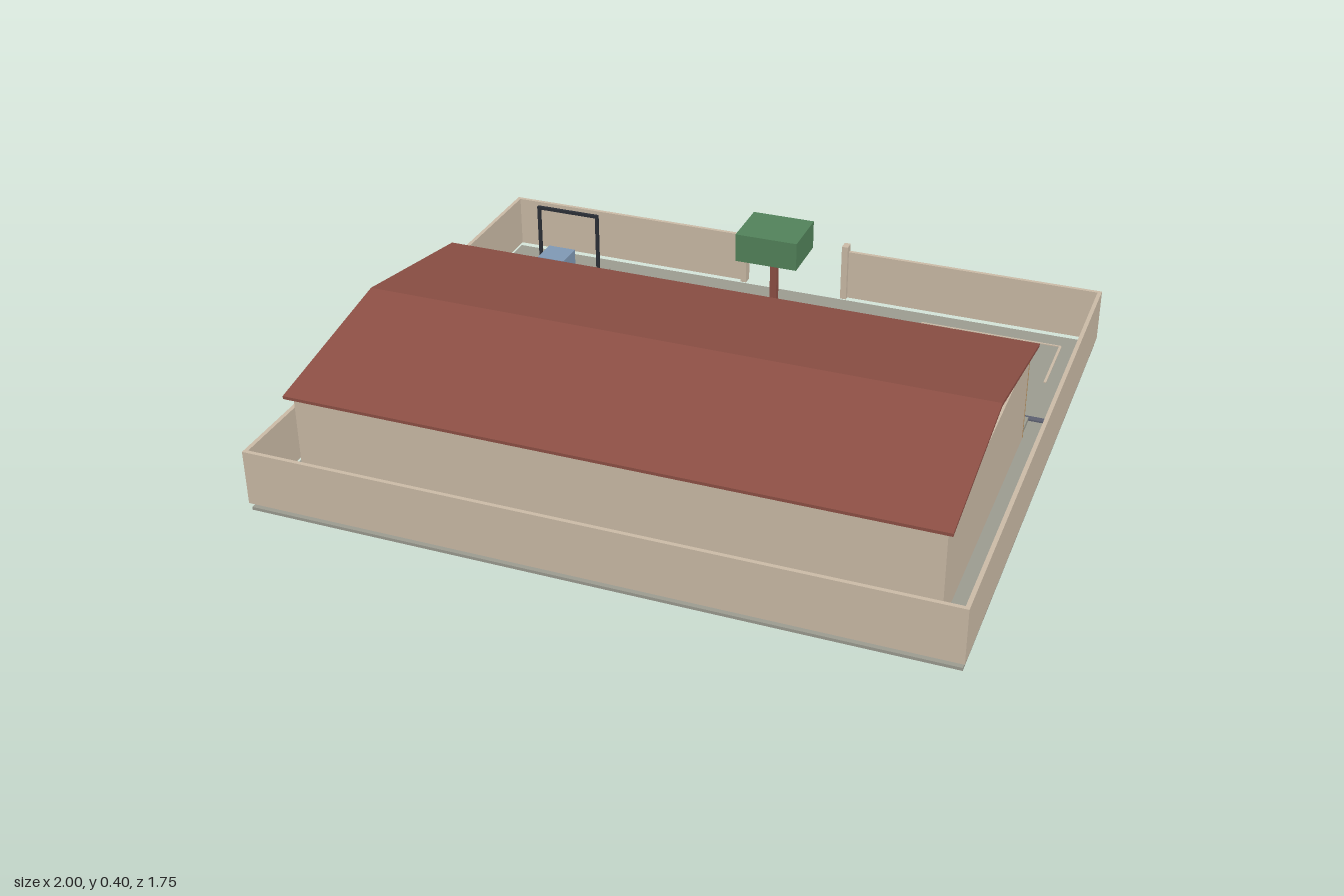
import * as THREE from 'three';

const colours = {
  paving: 0x9b9b90, plaster: 0xcabaa6, roofRed: 0x8c4f44, leafGreen: 0x52825a,
  roomGreen: 0x6d9682, roomBlue: 0x7f98b4, roomOrange: 0xbd9765,
  drainGrey: 0x5c6070, frameDark: 0x2b2f36,
};

export function createModel() {
  const model = new THREE.Group();
  model.name = 'schoolCompound';
  const mats = {};
  for (const [name, color] of Object.entries(colours)) {
    mats[name] = new THREE.MeshStandardMaterial({ color });
    mats[name].name = name;
  }

  const group = (name, parent = model) => {
    const g = new THREE.Group();
    g.name = name;
    parent.add(g);
    return g;
  };
  // Box given by its extents along each axis
  const box = (parent, name, mat, [x0, x1], [y0, y1], [z0, z1]) => {
    const mesh = new THREE.Mesh(new THREE.BoxGeometry(x1 - x0, y1 - y0, z1 - z0), mats[mat]);
    mesh.position.set((x0 + x1) / 2, (y0 + y1) / 2, (z0 + z1) / 2);
    mesh.name = name;
    parent.add(mesh);
    return mesh;
  };
  const around = (c, w) => [c - w / 2, c + w / 2];

  // Ground slab and drain
  box(model, 'ground', 'paving', [-0.995, 0.995], [0.001, 0.01], [-0.865, 0.865]);
  box(model, 'drain', 'drainGrey', [-0.97, 0.965], [0.008, 0.015], [-0.345, -0.325]);

  // Perimeter walls, raised a little off the ground, with a gateway at the back
  const fence = group('perimeterWall');
  const fy = [0.025, 0.19];
  box(fence, 'frontWall', 'plaster', [-1, 1], fy, [0.858, 0.87]);
  for (const s of [-1, 1]) {
    box(fence, 'sideWall', 'plaster', around(s * 0.994, 0.012), fy, [-0.858, 0.858]);
    box(fence, 'backWall', 'plaster', around(s * 0.585, 0.83), fy, [-0.87, -0.858]);
    box(fence, 'gatePost', 'plaster', around(s * 0.173, 0.02), [0.025, 0.213], [-0.875, -0.843]);
  }

  // Floors: three coloured bands and the veranda, reaching through the slab
  const building = group('building');
  const bands = [
    ['veranda', 'paving', -0.32, -0.2], ['orangeFloor', 'roomOrange', -0.2, 0.11],
    ['blueFloor', 'roomBlue', 0.11, 0.41], ['greenFloor', 'roomGreen', 0.41, 0.72],
  ];
  for (const [name, mat, z0, z1] of bands) box(building, name, mat, [-0.9, 0.9], [0, 0.025], [z0, z1]);

  // Outer walls
  const wy = [0.025, 0.31];
  box(building, 'frontWall', 'plaster', [-0.908, 0.908], wy, [0.722, 0.735]);
  for (const s of [-1, 1]) box(building, 'sideWall', 'plaster', around(s * 0.902, 0.012), wy, [-0.194, 0.722]);

  // Back wall: five coloured rooms, each with a doorway
  const rooms = ['paving', 'roomBlue', 'plaster', 'roomGreen', 'roomOrange'];
  const wz = [-0.206, -0.194];
  const pitch = 1.816 / 5, doorW = 0.11, doorTop = 0.235;
  rooms.forEach((mat, i) => {
    const x = (i - 2) * pitch;
    const room = group('room' + (i + 1), building);
    const sideW = (pitch - doorW) / 2;
    for (const s of [-1, 1]) {
      box(room, 'wallPanel', mat, around(x + s * (doorW + sideW) / 2, sideW), wy, wz);
      box(room, 'doorJamb', 'roofRed', around(x + s * (doorW / 2 - 0.004), 0.008), [0.025, doorTop], [-0.208, -0.18]);
    }
    box(room, 'lintel', mat, around(x, doorW), [doorTop, 0.31], wz);
    if (i) box(room, 'partition', 'plaster', around(x - pitch / 2, 0.012), wy, [-0.194, 0.722]);
  });

  // Gabled roof: a thin chevron drawn across z and pushed along x
  const chevron = new THREE.Shape([
    [-0.76, 0.31], [-0.26, 0.394], [0.24, 0.31], [0.24, 0.319], [-0.26, 0.404], [-0.76, 0.319],
  ].map(([x, y]) => new THREE.Vector2(x, y)));
  const roofGeo = new THREE.ExtrudeGeometry(chevron, { depth: 1.85, bevelEnabled: false });
  roofGeo.translate(0, 0, -0.925).rotateY(Math.PI / 2);
  const roof = new THREE.Mesh(roofGeo, mats.roofRed);
  roof.name = 'roof';
  building.add(roof);

  // Tree in a planter
  const tree = group('tree');
  box(tree, 'planter', 'plaster', [-0.055, 0.055], [0.01, 0.045], [-0.7, -0.59]);
  box(tree, 'trunk', 'roofRed', around(0, 0.022), [0.045, 0.252], around(-0.645, 0.022));
  box(tree, 'canopy', 'leafGreen', [-0.1, 0.1], [0.252, 0.344], [-0.73, -0.555]);

  // Benches on both sides of the tree
  for (const s of [-1, 1]) {
    const bench = group('bench');
    box(bench, 'seat', 'roofRed', around(s * 0.184, 0.092), [0.05, 0.064], [-0.665, -0.616]);
    for (const t of [-1, 1]) {
      box(bench, 'leg', 'roofRed', around(s * 0.184 + t * 0.032, 0.012), [0.01, 0.05], [-0.66, -0.621]);
    }
  }

  // Play area: pad, bar frame and two blocks
  const play = group('playArea');
  box(play, 'pad', 'paving', [-0.89, -0.635], [0.008, 0.016], [-0.8, -0.5]);
  const barZ = around(-0.768, 0.01);
  box(play, 'crossbar', 'frameDark', [-0.88, -0.66], [0.211, 0.221], barZ);
  for (const x of [-0.875, -0.665]) box(play, 'framePost', 'frameDark', around(x, 0.01), [0.016, 0.211], barZ);
  box(play, 'tallBlock', 'roomBlue', [-0.76, -0.668], [0.016, 0.175], [-0.592, -0.502]);
  box(play, 'lowBlock', 'roomBlue', [-0.885, -0.822], [0.016, 0.075], [-0.565, -0.51]);

  // Painted parking bays
  const parking = group('parkingLines');
  const py = [0.009, 0.013];
  box(parking, 'endLine', 'plaster', [0.45, 0.903], py, around(-0.799, 0.006));
  for (let i = 0; i < 4; i++) {
    box(parking, 'bayLine', 'plaster', around(0.555 + i * 0.115, 0.008), py, [-0.796, -0.56]);
  }

  return model;
}
